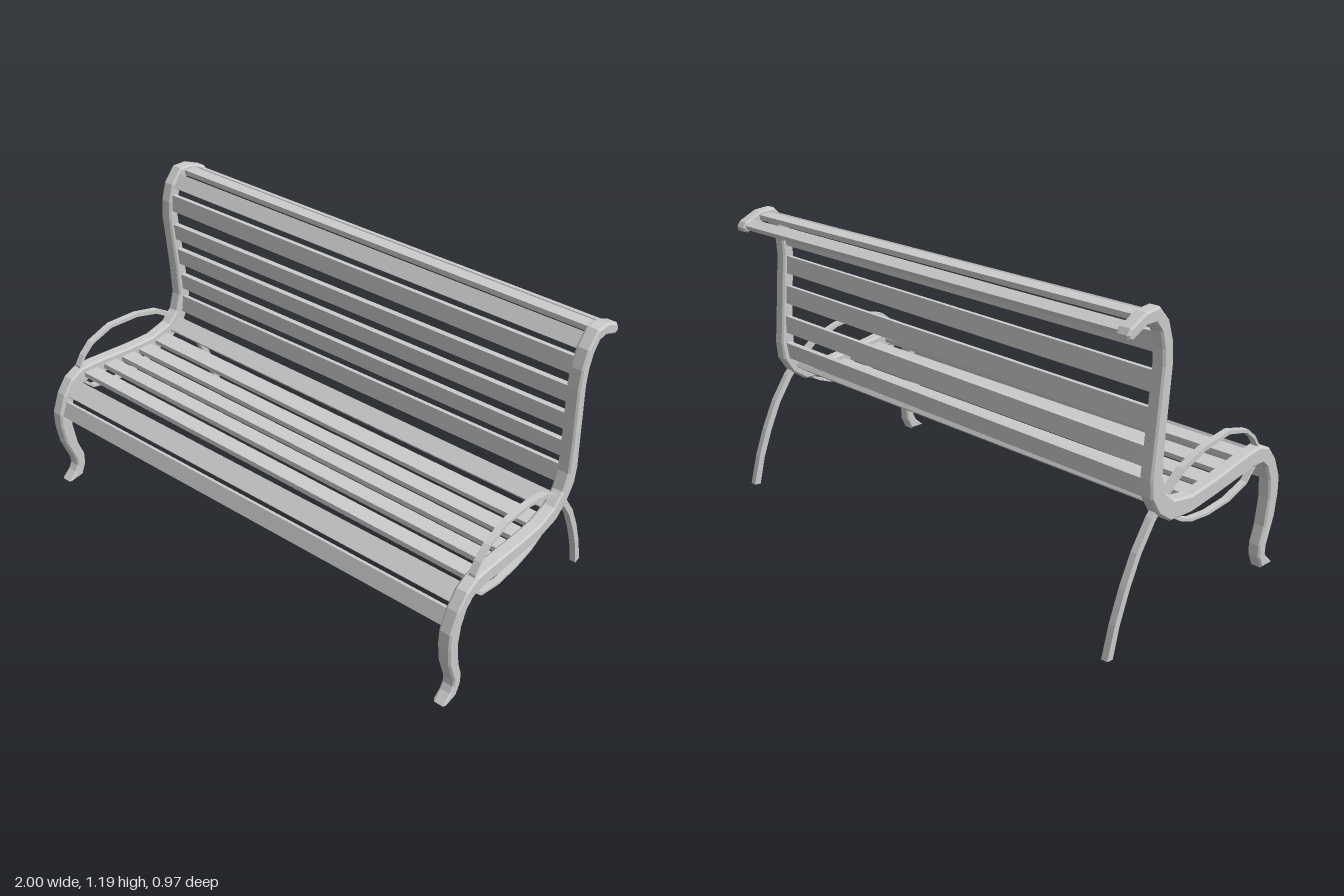
import * as THREE from 'three';

const material = new THREE.MeshStandardMaterial({ color: 0xcccccc, flatShading: true });

// Extrude a (z, y) outline across x, from xInner to xOuter.
function profile(points, xInner, xOuter, bevel = 0) {
  const shape = new THREE.Shape(points.map(([z, y]) => new THREE.Vector2(z, y)));
  const geometry = new THREE.ExtrudeGeometry(shape, {
    depth: xOuter - xInner - 2 * bevel,
    bevelEnabled: bevel > 0,
    bevelThickness: bevel,
    bevelSize: bevel,
    bevelOffset: -bevel,
    bevelSegments: 1,
  });
  geometry.rotateY(-Math.PI / 2);
  geometry.translate(xOuter - bevel, 0, 0);
  return geometry;
}

// Outline of a tapering band around a centre line of [z, y, width].
function band(line) {
  const a = [], b = [];
  line.forEach(([z, y, w], i) => {
    const p = line[Math.max(i - 1, 0)], n = line[Math.min(i + 1, line.length - 1)];
    const dz = n[0] - p[0], dy = n[1] - p[1], k = w / 2 / Math.hypot(dz, dy);
    a.push([z - dy * k, Math.max(0, y + dz * k)]);
    b.unshift([z + dy * k, Math.max(0, y - dz * k)]);
  });
  return a.concat(b);
}

function add(parent, name, geometry) {
  const mesh = new THREE.Mesh(geometry, material);
  mesh.name = name;
  parent.add(mesh);
  return mesh;
}

// Side frame: front edge from foot to scroll, then back edge down again.
const frontEdge = [
  [0.483, 0], [0.445, 0.035], [0.431, 0.06], [0.433, 0.09], [0.472, 0.2], [0.485, 0.29],
  [0.483, 0.36], [0.448, 0.44], [0.4, 0.497], [0.34, 0.52], [0.27, 0.515], [0.05, 0.482],
  [-0.07, 0.47], [-0.17, 0.487], [-0.22, 0.53], [-0.244, 0.6], [-0.24, 0.73], [-0.22, 0.98],
  [-0.226, 1.06], [-0.25, 1.13], [-0.303, 1.186], [-0.37, 1.181], [-0.445, 1.147],
];
const backEdge = [
  [-0.458, 1.127], [-0.453, 1.11], [-0.437, 1.104], [-0.365, 1.136], [-0.322, 1.135],
  [-0.292, 1.1], [-0.275, 1.04], [-0.271, 0.98], [-0.295, 0.72], [-0.307, 0.6], [-0.3, 0.53],
  [-0.258, 0.462], [-0.19, 0.415], [-0.07, 0.405], [0.07, 0.42], [0.3, 0.45], [0.36, 0.447],
  [0.392, 0.42], [0.417, 0.36], [0.426, 0.28], [0.41, 0.17], [0.386, 0.1], [0.387, 0.05], [0.41, 0],
];

// Armrest loop that sweeps on into the rear leg: [z, y, width].
const armLine = [
  [-0.2, 0.45, 0.012], [-0.15, 0.412, 0.012], [-0.11, 0.388, 0.011], [-0.05, 0.365, 0.011],
  [0.05, 0.354, 0.011], [0.17, 0.361, 0.011], [0.28, 0.394, 0.011], [0.325, 0.44, 0.011],
  [0.345, 0.48, 0.011], [0.337, 0.525, 0.011], [0.31, 0.562, 0.012], [0.26, 0.601, 0.013],
  [0.15, 0.629, 0.015], [0.0, 0.611, 0.016], [-0.115, 0.573, 0.019], [-0.21, 0.505, 0.022],
  [-0.27, 0.445, 0.025], [-0.34, 0.346, 0.026], [-0.395, 0.235, 0.027], [-0.44, 0.12, 0.027],
  [-0.472, 0, 0.03],
];

// Slats: [z, y, slope angle in the side plane, width, tilt along the length]
const slats = [
  ['frontSlat', 0.446, 0.383, 1.98, 0.066, 0.009],
  ['frontSlat', 0.396, 0.459, 2.5, 0.078, 0.008],
  ['seatSlat', 0.298, 0.483, 3.24, 0.068, 0],
  ['seatSlat', 0.19, 0.468, 3.28, 0.07, 0],
  ['seatSlat', 0.09, 0.453, 3.27, 0.07, 0],
  ['seatSlat', -0.01, 0.442, 3.22, 0.07, 0],
  ['seatSlat', -0.113, 0.441, 3.08, 0.072, 0],
  ['seatSlat', -0.206, 0.472, 2.55, 0.07, 0.002],
  ['backSlat', -0.268, 0.559, 1.75, 0.073, 0.009],
  ['backSlat', -0.272, 0.673, 1.52, 0.072, 0.01],
  ['backSlat', -0.262, 0.802, 1.48, 0.075, 0.01],
  ['backSlat', -0.25, 0.927, 1.48, 0.073, 0.011],
  ['backSlat', -0.25, 1.053, 1.68, 0.07, 0.003],
  ['topSlat', -0.283, 1.135, 2.25, 0.062, 0.001],
  ['topSlat', -0.351, 1.159, 3.2, 0.054, 0],
  ['topSlat', -0.424, 1.135, 3.55, 0.047, 0],
];

export function createModel() {
  const bench = new THREE.Group();
  bench.name = 'bench';

  // Both ends
  for (const side of [1, -1]) {
    const end = new THREE.Group();
    end.name = side > 0 ? 'leftEnd' : 'rightEnd';
    const frame = add(end, 'sideFrame', profile(frontEdge.concat(backEdge), 0.948, 1, 0.007));
    const arm = add(end, 'armrestAndRearLeg', profile(band(armLine), 0.961, 0.987));
    if (side < 0) {
      frame.position.x = -0.948 - 1;
      arm.position.x = -0.961 - 0.987;
    }
    bench.add(end);
  }

  // Slats lie along the frame's centre line
  for (const [name, z, y, angle, width, tilt] of slats) {
    const slat = add(bench, name, new THREE.BoxGeometry(1.906, 0.02, width));
    slat.position.set(0, y, z);
    slat.rotation.set(-angle, -tilt, 0);
  }
  return bench;
}
